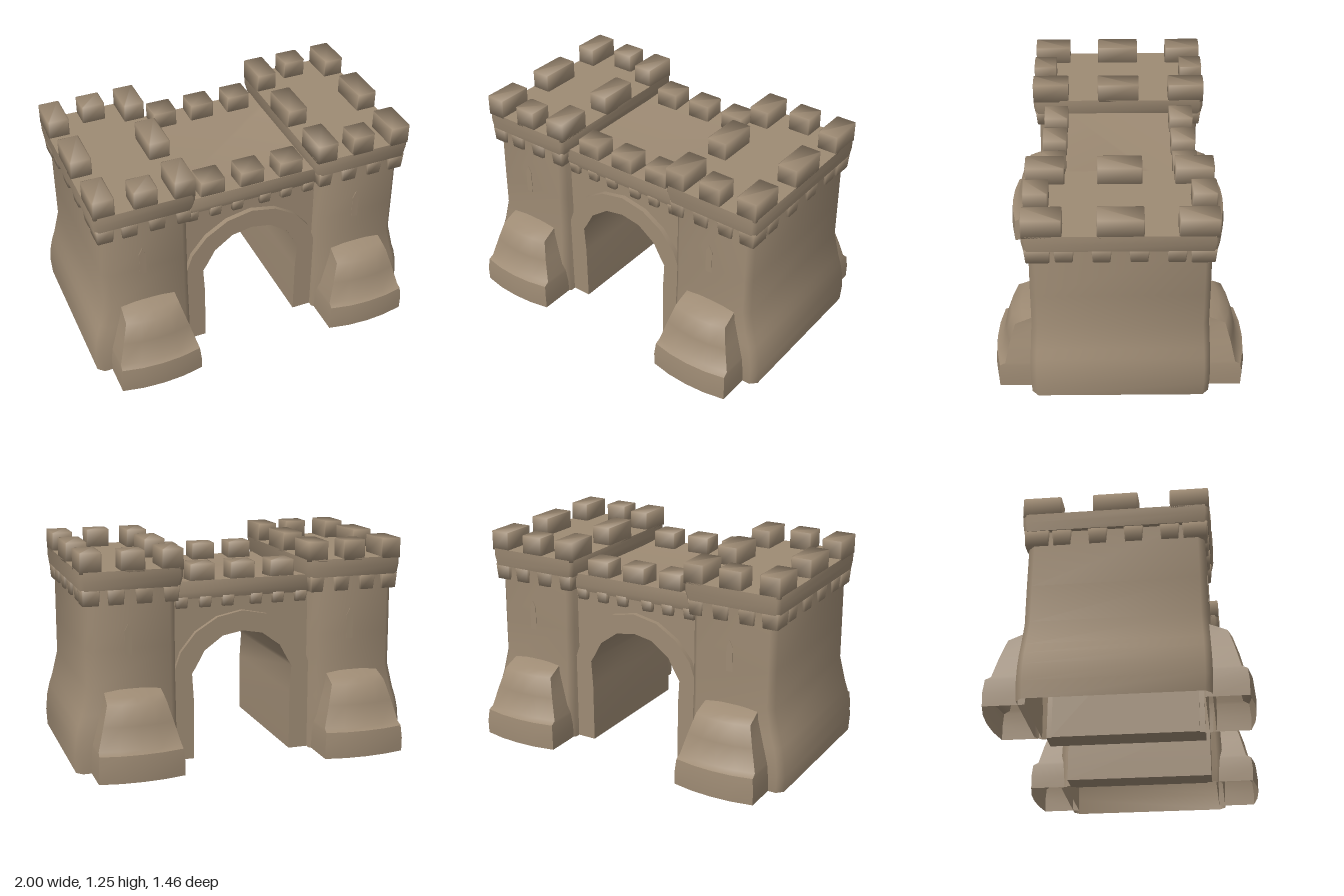
import * as THREE from 'three';
import { toCreasedNormals } from 'three/addons/utils/BufferGeometryUtils.js';

const SMOOTH = 1.8, SOFT = 0.95;

// Skin a stack of closed rings (each counter-clockwise seen from above), optional top and bottom caps
function loft(rings, crease, top = true, bottom = false) {
  const n = rings[0].length, index = [];
  for (let k = 0; k < rings.length - 1; k++) {
    for (let i = 0; i < n; i++) {
      const a = k * n + i, b = k * n + (i + 1) % n;
      index.push(a, b, b + n, a, b + n, a + n);
    }
  }
  const t = (rings.length - 1) * n;
  for (let i = 1; i < n - 1; i++) {
    if (top) index.push(t, t + i, t + i + 1);
    if (bottom) index.push(0, i + 1, i);
  }
  const geometry = new THREE.BufferGeometry();
  geometry.setAttribute('position', new THREE.Float32BufferAttribute(rings.flat(2), 3));
  geometry.setIndex(index);
  return toCreasedNormals(geometry, crease);
}

// Rectangle with chamfered corners at height y
function rect(y, x0, x1, z0, z1, c = 0.02) {
  return [
    [x0 + c, y, z1], [x1 - c, y, z1], [x1, y, z1 - c], [x1, y, z0 + c],
    [x1 - c, y, z0], [x0 + c, y, z0], [x0, y, z0 + c], [x0, y, z1 - c],
  ];
}

// Soft-edged block, with its lower end drawn in by the given inset
function block(x0, x1, y0, y1, z0, z1, inset = 0) {
  const i = inset;
  return loft([
    rect(y0, x0 + i, x1 - i, z0 + i, z1 - i, 0.006),
    rect(y1, x0, x1, z0, z1, 0.006),
  ], SMOOTH, true, true);
}

// Buttress section with a bowed front, centred on x = 0
function bowed(y, half, front, back = 0.47) {
  return [
    [-half, y, back], [-half, y, front - 0.03], [-half * 0.5, y, front - 0.007], [0, y, front],
    [half * 0.5, y, front - 0.007], [half, y, front - 0.03], [half, y, back],
  ];
}

export function createModel() {
  const stone = new THREE.MeshStandardMaterial({ color: 0x9e8b74, side: THREE.DoubleSide });
  stone.name = 'stone';
  const add = (parent, name, geometry) => {
    const mesh = new THREE.Mesh(geometry, stone);
    mesh.name = name;
    parent.add(mesh);
    return mesh;
  };

  function makeTower() {
    const tower = new THREE.Group();

    // Walls flare outwards towards the ground and are open underneath
    const profile = [
      [0, 0.995, 0.508], [0.1, 1.0, 0.512], [0.2, 0.99, 0.511], [0.27, 0.975, 0.508],
      [0.33, 0.955, 0.505], [0.48, 0.92, 0.496], [0.7, 0.92, 0.494], [1.05, 0.92, 0.488],
    ];
    add(tower, 'towerWalls', loft(
      profile.map(([y, x, z]) => rect(y, 0.41, x, -z, z, 0.035)), SOFT, false));

    // Overhanging parapet and roof
    add(tower, 'towerParapet', loft([
      rect(1.035, 0.385, 0.945, -0.512, 0.512),
      rect(1.09, 0.37, 0.952, -0.52, 0.52),
      rect(1.14, 0.37, 0.952, -0.52, 0.52),
      rect(1.14, 0.46, 0.86, -0.42, 0.42),
    ], SOFT, true, true));

    // Corbels beneath the parapet
    for (const z of [-1, 1]) {
      for (const [a, b] of [[0.39, 0.48], [0.54, 0.64], [0.7, 0.8], [0.84, 0.94]]) {
        const [z0, z1] = z > 0 ? [0.42, 0.51] : [-0.51, -0.42];
        add(tower, 'corbel', block(a, b, 0.95, 1.04, z0, z1, 0.008));
      }
    }
    for (const z of [-0.3, -0.1, 0.1, 0.3]) {
      add(tower, 'corbel', block(0.86, 0.94, 0.95, 1.04, z - 0.055, z + 0.055, 0.008));
    }
    for (const z of [-0.44, 0.44]) {
      add(tower, 'cornerCorbel', block(0.84, 0.942, 0.95, 1.04, z - 0.07, z + 0.07, 0.006));
    }

    // Merlons: corners, the middle of each side, and the middle of each end
    for (const [a, b] of [[0.37, 0.493], [0.83, 0.952]]) {
      for (const [z0, z1] of [[-0.52, -0.305], [-0.125, 0.125], [0.305, 0.52]]) {
        add(tower, 'merlon', block(a, b, 1.13, 1.245, z0, z1));
      }
    }
    for (const [z0, z1] of [[-0.52, -0.385], [0.385, 0.52]]) {
      add(tower, 'merlon', block(0.588, 0.725, 1.13, 1.245, z0, z1));
    }

    // Stepped buttress and arrow slit at each end
    for (const turn of [0, Math.PI]) {
      const end = new THREE.Group();
      end.name = 'towerEnd';
      end.position.x = 0.668;
      end.rotation.y = turn;
      tower.add(end);
      add(end, 'buttress', loft([
        bowed(0, 0.245, 0.728), bowed(0.08, 0.245, 0.73), bowed(0.155, 0.238, 0.722),
        bowed(0.172, 0.235, 0.69), bowed(0.3, 0.2, 0.66), bowed(0.415, 0.168, 0.625),
        bowed(0.44, 0.165, 0.57), bowed(0.47, 0.16, 0.5),
      ], SOFT));
      const slit = new THREE.Shape([
        [-0.02, 0.66], [0.02, 0.66], [0.02, 0.8], [0, 0.84], [-0.02, 0.8],
      ].map(([x, y]) => new THREE.Vector2(x, y)));
      const plate = add(end, 'arrowSlit',
        new THREE.ExtrudeGeometry(slit, { depth: 0.008, bevelEnabled: false }));
      plate.position.set(-0.018, 0, 0.488);
    }
    return tower;
  }

  const model = new THREE.Group();
  model.name = 'gatehouse';
  [0, Math.PI].forEach((turn, i) => {
    const tower = makeTower();
    tower.name = i ? 'rightTower' : 'leftTower';
    tower.rotation.y = turn;
    model.add(tower);
  });

  // Half outlines from the ground to the crown, mirrored to make full arches
  const arch = half => [...half, ...half.slice(0, -1).reverse().map(([x, y]) => [-x, y])];
  const inner = arch([[0.295, 0], [0.295, 0.35], [0.305, 0.51], [0.28, 0.55], [0.23, 0.64], [0.12, 0.72], [0, 0.742]]);
  const middle = arch([[0.36, 0], [0.36, 0.52], [0.28, 0.68], [0.15, 0.77], [0, 0.8]]);
  const outer = arch([[0.425, 0], [0.42, 0.5], [0.37, 0.64], [0.28, 0.75], [0.15, 0.83], [0, 0.86]]);
  const wall = [[0.44, 0], [0.44, 0.97], [-0.44, 0.97], [-0.44, 0]];
  const band = (outside, inside, depth) => {
    const shape = new THREE.Shape([...outside, ...[...inside].reverse()].map(([x, y]) => new THREE.Vector2(x, y)));
    const geometry = new THREE.ExtrudeGeometry(shape, { depth, bevelEnabled: false });
    return toCreasedNormals(geometry.translate(0, 0, -depth / 2), SOFT);
  };
  add(model, 'archRing', band(outer, inner, 0.89));
  add(model, 'gateWall', band(wall, middle, 0.83));

  // Walkway over the gate
  add(model, 'walkway', loft([
    rect(0.945, -0.42, 0.42, -0.44, 0.44), rect(0.98, -0.42, 0.42, -0.452, 0.452),
    rect(1.048, -0.42, 0.42, -0.448, 0.448), rect(1.04, -0.4, 0.4, -0.3, 0.3),
  ], SOFT, true, true));
  for (const side of [-1, 1]) {
    const span = (a, b) => side > 0 ? [a, b] : [-b, -a];
    for (const x of [-0.24, 0, 0.24]) {
      add(model, 'walkwayMerlon', block(x - 0.073, x + 0.073, 1.03, 1.14, ...span(0.305, 0.445)));
    }
    for (const x of [-0.36, -0.22, -0.085, 0.085, 0.22, 0.36]) {
      add(model, 'walkwayCorbel', block(x - 0.038, x + 0.038, 0.892, 0.955, ...span(0.38, 0.445), 0.006));
    }
  }
  return model;
}
